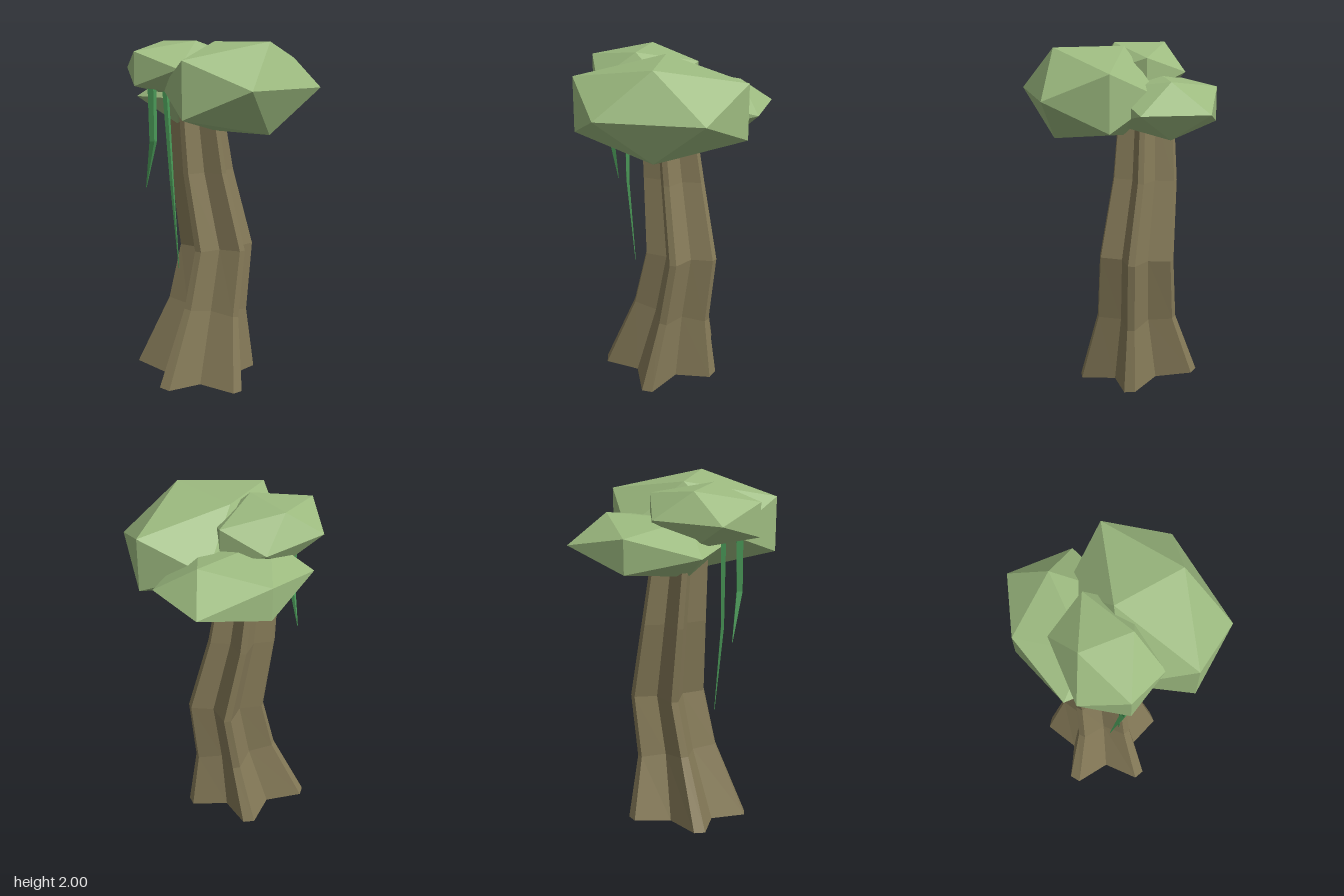
import * as THREE from 'three';

const material = (color) => new THREE.MeshStandardMaterial({ color, flatShading: true });
const bark = material(0x857a58);
const leaf = material(0x9dbb80);
const vineGreen = material(0x4a9a58);

// Joins equal-length rings of points, listed bottom to top, and caps both ends
function loft(rings) {
  const out = [];
  const tri = (...pts) => pts.forEach((p) => out.push(p.x, p.y, p.z));
  const n = rings[0].length;
  const centre = (ring) => ring.reduce((s, p) => s.add(p), new THREE.Vector3()).divideScalar(n);
  const first = rings[0], last = rings[rings.length - 1];
  const bottom = centre(first), top = centre(last);
  for (let j = 0; j < n; j++) {
    const k = (j + 1) % n;
    for (let i = 0; i < rings.length - 1; i++) {
      const a = rings[i], b = rings[i + 1];
      tri(a[j], b[j], b[k]);
      tri(a[j], b[k], a[k]);
    }
    tri(bottom, first[j], first[k]);
    tri(top, last[k], last[j]);
  }
  const geometry = new THREE.BufferGeometry();
  geometry.setAttribute('position', new THREE.Float32BufferAttribute(out, 3));
  geometry.computeVertexNormals();
  return geometry;
}

// Five-lobed star with blunt tips; the ring can lean along x and z
function starRing({ x, y, z, r, leanX = 0, leanZ = 0 }) {
  const ring = [];
  const add = (angle, radius) => {
    const dx = Math.cos(angle) * radius, dz = Math.sin(angle) * radius;
    ring.push(new THREE.Vector3(x + dx, y + leanX * dx + leanZ * dz, z + dz));
  };
  for (let i = 0; i < 5; i++) {
    const tip = Math.PI / 2 + (i * Math.PI * 2) / 5;
    add(tip - 0.09, r);
    add(tip + 0.09, r);
    add(tip + Math.PI / 5, r * 0.58);
  }
  return ring;
}

function mesh(name, geometry, mat) {
  const m = new THREE.Mesh(geometry, mat);
  m.name = name;
  return m;
}

// Flattened icosahedron: size is the scale of each axis, turn is about y
function foliage(name, centre, size, turn) {
  const geometry = new THREE.IcosahedronGeometry(Math.hypot(1, (1 + Math.sqrt(5)) / 2), 0);
  geometry.scale(...size).rotateY(turn).translate(...centre);
  return mesh(name, geometry, leaf);
}

// Tapering four-sided strand through [x, y, z, radius] points, tip first
function vine(name, points) {
  const rings = points.map(([x, y, z, r]) => [0, 1, 2, 3].map((i) => {
    const a = (i * Math.PI) / 2 + 0.4;
    return new THREE.Vector3(x + Math.cos(a) * r, y, z + Math.sin(a) * r);
  }));
  return mesh(name, loft(rings), vineGreen);
}

export function createModel() {
  const tree = new THREE.Group();
  tree.name = 'tree';

  // Fluted, bending trunk with flared roots
  const levels = [
    { x: -0.07, y: 0.05, z: -0.135, r: 0.36, leanZ: -0.138 },
    { x: 0, y: 0.44, z: -0.11, r: 0.238, leanX: -0.16, leanZ: -0.1 },
    { x: 0.06, y: 0.8, z: -0.1, r: 0.22 },
    { x: -0.005, y: 1.25, z: -0.155, r: 0.188 },
    { x: -0.045, y: 1.62, z: -0.165, r: 0.163 },
  ];
  tree.add(mesh('trunk', loft(levels.map(starRing)), bark));

  // Three overlapping leaf clumps
  tree.add(
    foliage('frontFoliage', [0, 1.745, 0.17], [0.201, 0.155, 0.295], -Math.PI / 2 + 0.12),
    foliage('rightFoliage', [-0.185, 1.85, -0.14], [0.145, 0.093, 0.195], -Math.PI / 2 - 0.02),
    foliage('backFoliage', [0.107, 1.683, -0.23], [0.24, 0.096, 0.186], 0),
  );

  // Hanging vines
  tree.add(
    vine('shortVine', [[-0.38, 1.18, -0.21, 0.002], [-0.388, 1.45, -0.13, 0.022], [-0.385, 1.8, -0.14, 0.026]]),
    vine('longVine', [[-0.24, 0.71, -0.095, 0.002], [-0.283, 1.22, -0.1, 0.012], [-0.295, 1.8, -0.14, 0.02]]),
  );
  return tree;
}
